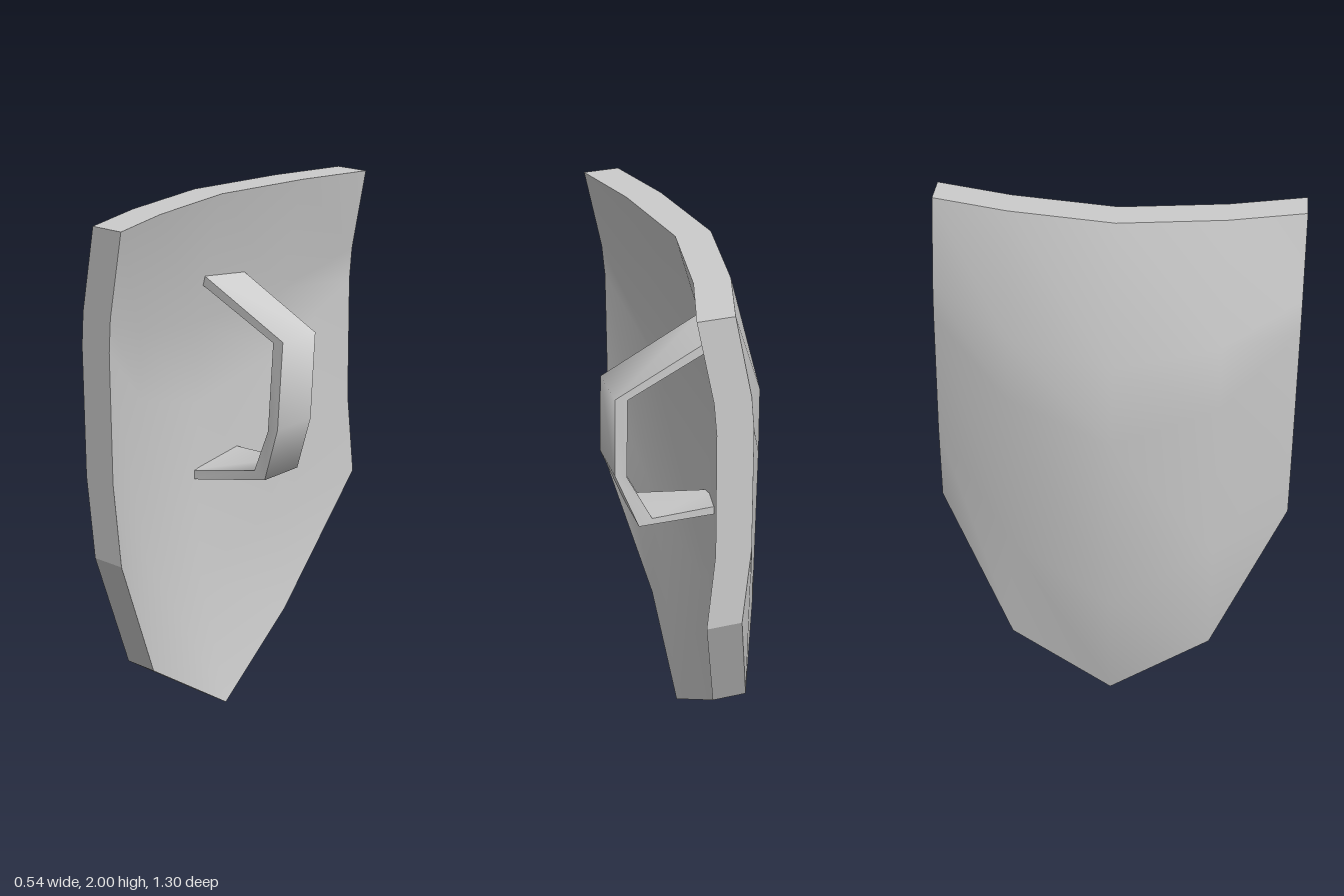
import * as THREE from 'three';

const material = new THREE.MeshStandardMaterial({ color: 0xcccccc });
const THICKNESS = 0.13;

// Smooth sheet through rows of [x, y, z] points; it faces (row direction) x (column direction).
function sheet(name, rows) {
  const cols = rows[0].length;
  const index = [];
  for (let i = 0; i < rows.length - 1; i++) {
    for (let j = 0; j < cols - 1; j++) {
      const a = i * cols + j, b = a + cols;
      index.push(a, b, b + 1, a, b + 1, a + 1);
    }
  }
  const geometry = new THREE.BufferGeometry();
  geometry.setAttribute('position', new THREE.Float32BufferAttribute(rows.flat(2), 3));
  geometry.setIndex(index);
  geometry.computeVertexNormals();
  const mesh = new THREE.Mesh(geometry, material);
  mesh.name = name;
  return mesh;
}

// Curved plate with a pointed bottom, bulging toward -x
function createPlate() {
  const plate = new THREE.Group();
  plate.name = 'shieldPlate';

  // Each row, top to bottom: [x, y] at the centre, the middle and the side
  const profile = [
    [[-0.14, 1.993], [-0.08, 1.993], [0, 1.993]],
    [[-0.27, 1.5], [-0.19, 1.56], [-0.06, 1.69]],
    [[-0.27, 1.19], [-0.19, 1.31], [-0.07, 1.57]],
    [[-0.27, 0.5], [-0.18, 0.7], [-0.07, 1.1]],
    [[-0.14, 0], [-0.16, 0.265], [-0.04, 0.8]],
  ];
  const depth = [0, 0.375, 0.645];
  const outer = profile.map((row) =>
    [2, 1, 0, -1, -2].map((c) => {
      const k = Math.abs(c);
      return [row[k][0], row[k][1], Math.sign(c) * depth[k]];
    }));
  const inset = ([x, y, z]) => [x + THICKNESS, y, z];
  const inner = outer.map((row) => row.map(inset));

  plate.add(sheet('outerFace', outer.map((row) => [...row].reverse())));
  plate.add(sheet('innerFace', inner));

  // Rim strips, split where the outline has sharp corners
  const bottom = outer[outer.length - 1];
  const rims = {
    topRim: [...outer[0]].reverse(),
    leftRim: outer.map((row) => row[0]),
    rightRim: outer.map((row) => row[4]).reverse(),
  };
  for (let j = 0; j < 4; j++) rims['bottomRim' + (j + 1)] = [bottom[j], bottom[j + 1]];
  for (const [name, path] of Object.entries(rims)) {
    plate.add(sheet(name, [path.map(inset), path]));
  }

  // Slight roll of the plate
  plate.rotation.x = 0.0115;
  plate.position.z = -0.012;
  return plate;
}

// Bent strap on the hollow side, a little twisted
function createHandle() {
  const handle = new THREE.Group();
  handle.name = 'handle';

  // Outer x, y; inner x, y; near z; far z; rise of the far edge
  const stations = [
    [-0.11, 1.69, -0.11, 1.65, 0.01, -0.175, 0],
    [0.27, 1.5, 0.225, 1.49, 0, -0.18, 0],
    [0.27, 1.18, 0.225, 1.165, 0.025, -0.16, 0],
    [0.19, 0.965, 0.14, 0.99, 0, -0.185, 0],
    [-0.17, 0.89, -0.17, 0.925, 0.03, -0.17, 0.06],
  ];
  const loops = stations.map(([ox, oy, ix, iy, near, far, rise]) => [
    [ox, oy, near], [ox, oy + rise, far], [ix, iy + rise, far], [ix, iy, near],
  ]);
  ['strapOuter', 'strapFarEdge', 'strapInner', 'strapNearEdge'].forEach((name, k) => {
    handle.add(sheet(name, loops.map((loop) => [loop[k], loop[(k + 1) % 4]])));
  });
  return handle;
}

export function createModel() {
  const model = new THREE.Group();
  model.name = 'shield';
  model.add(createPlate(), createHandle());
  return model;
}
